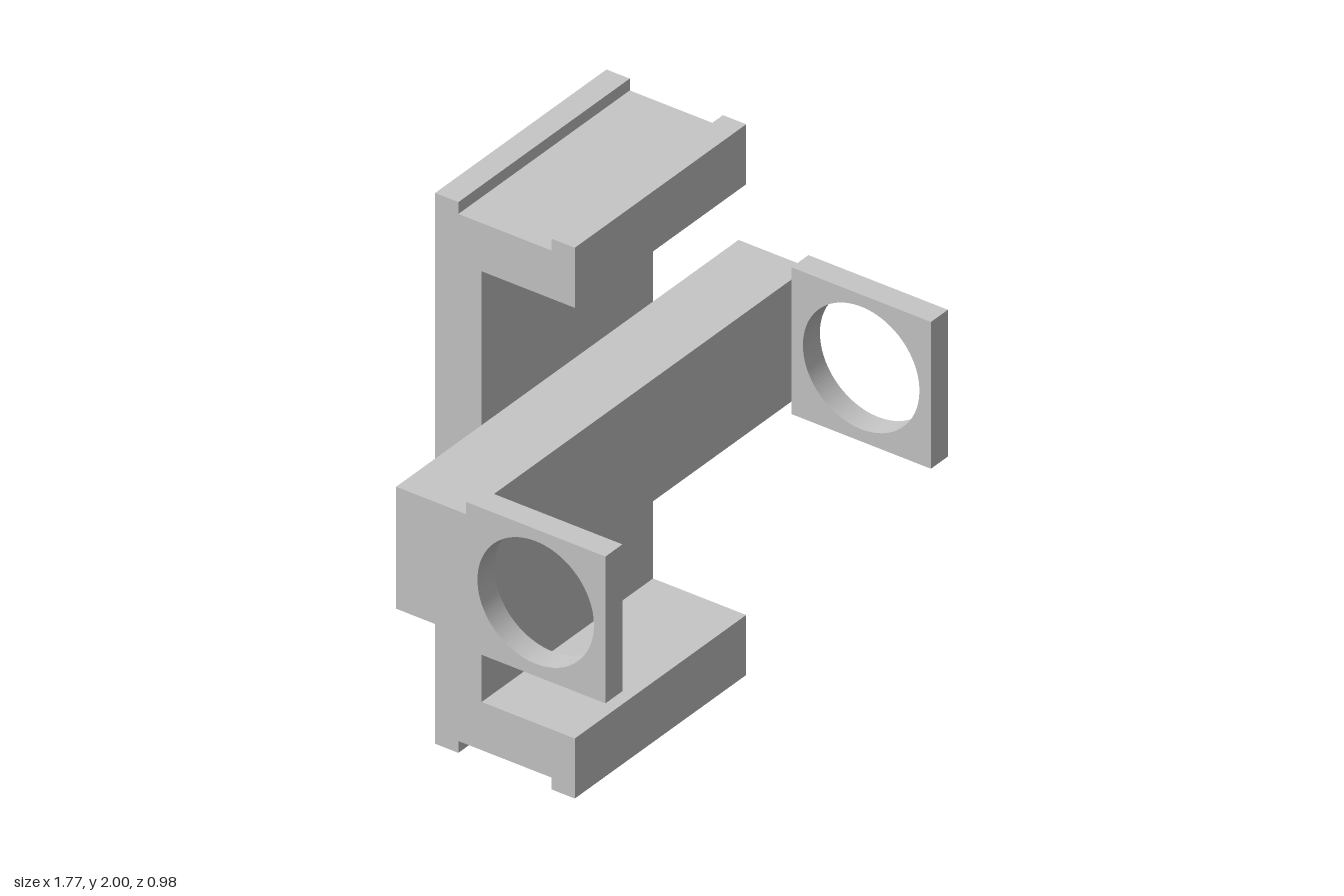
import * as THREE from 'three';

// Extrude a side profile of [z, y] points along x, between x0 and x1
function extrudeSide(points, x0, x1, hole) {
  const shape = new THREE.Shape(points.map(([z, y]) => new THREE.Vector2(-z, y)));
  if (hole) {
    const path = new THREE.Path();
    path.absarc(-hole.z, hole.y, hole.r, 0, Math.PI * 2, true);
    shape.holes.push(path);
  }
  const geometry = new THREE.ExtrudeGeometry(shape, { depth: x1 - x0, bevelEnabled: false, curveSegments: 64 });
  geometry.rotateY(Math.PI / 2);
  geometry.translate(x0, 0, 0);
  return geometry;
}

export function createModel() {
  const model = new THREE.Group();
  const lightGrey = new THREE.MeshStandardMaterial({ color: 0xc6c6c6 });
  lightGrey.name = 'lightGrey';

  const add = (name, geometry) => {
    const mesh = new THREE.Mesh(geometry, lightGrey);
    mesh.name = name;
    model.add(mesh);
  };

  // C-shaped bracket with a shallow groove across each end; lower half mirrors the upper
  const upper = [
    [-0.311, 1.782], [0.045, 1.782], [0.045, 2], [-0.044, 2],
    [-0.044, 1.957], [-0.4, 1.957], [-0.4, 2], [-0.489, 2],
  ];
  const lower = upper.map(([z, y]) => [z, 2 - y]).reverse();
  add('bracket', extrudeSide([...upper, ...lower], -0.444, 0.444));

  // Crossbar in front of the bracket's back plate
  const crossbar = new THREE.BoxGeometry(1.774, 0.443, 0.267);
  crossbar.translate(0, 1.002, -0.1775);
  add('crossbar', crossbar);

  // Square end plates with round holes
  const plate = [[-0.044, 0.735], [-0.044, 1.268], [0.489, 1.268], [0.489, 0.735]];
  const hole = { z: 0.2225, y: 1.002, r: 0.2225 };
  add('leftRingPlate', extrudeSide(plate, 0.799, 0.887, hole));
  add('rightRingPlate', extrudeSide(plate, -0.887, -0.799, hole));

  return model;
}
